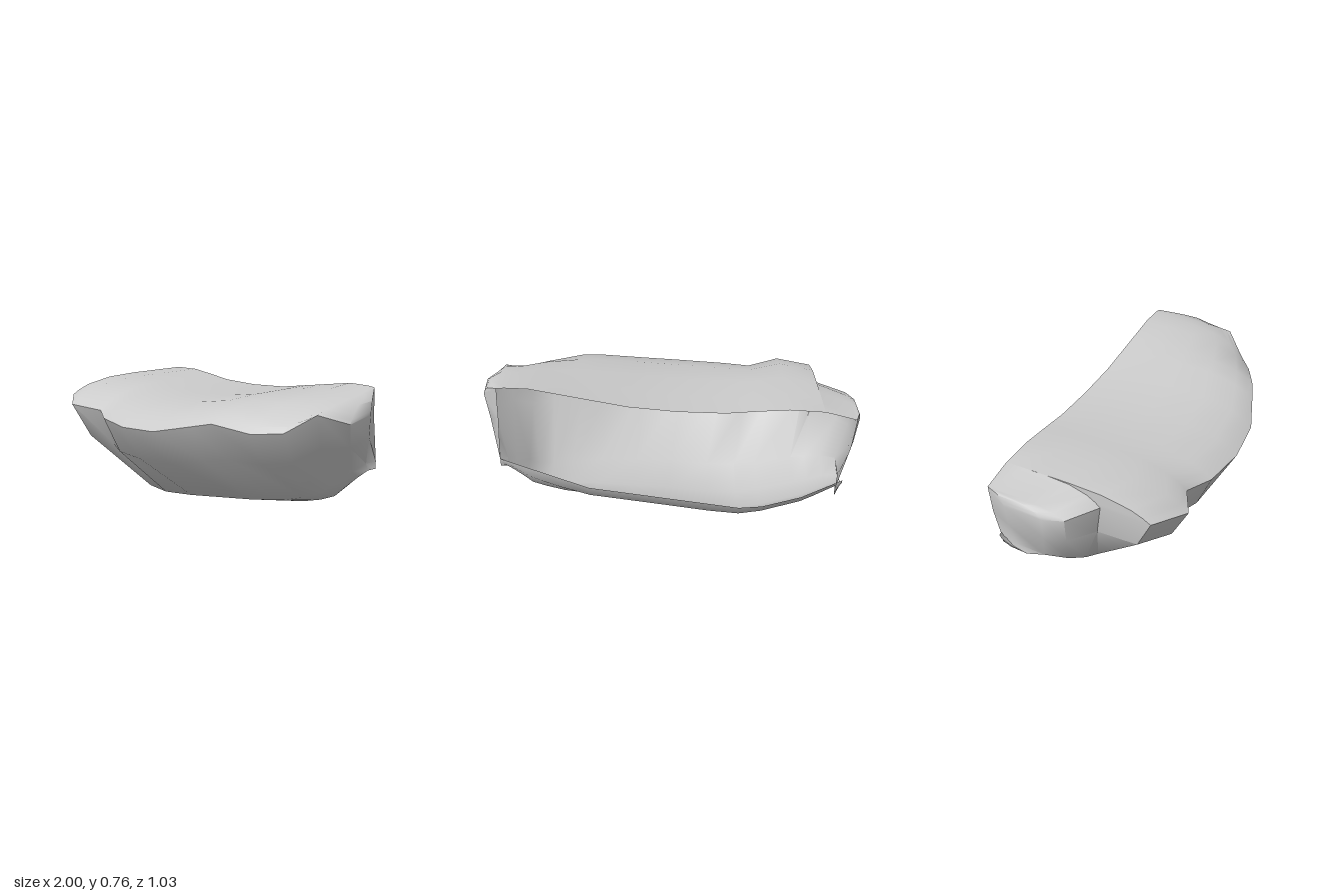
import * as THREE from 'three';
import { toCreasedNormals } from 'three/addons/utils/BufferGeometryUtils.js';

// Lip of the ledge (x, y, z) and foot of the wall below it (x, z), going
// round the front from the right back corner to the left back corner
const SECTIONS = [
  [-0.96, 0.61, -0.41, -0.88, -0.44],
  [-1.0, 0.57, -0.29, -0.91, -0.32],
  [-1.0, 0.57, -0.08, -0.92, -0.15],
  [-0.96, 0.57, 0.02, -0.85, -0.05],
  [-0.8, 0.57, 0.12, -0.77, 0.0],
  [-0.8, 0.57, 0.39, -0.7, 0.03],
  [-0.62, 0.55, 0.5, -0.5, 0.08],
  [-0.45, 0.53, 0.41, -0.38, 0.12],
  [-0.3, 0.52, 0.48, -0.22, 0.12],
  [-0.05, 0.52, 0.515, 0, 0.1],
  [0.2, 0.54, 0.495, 0.2, 0.05],
  [0.4, 0.59, 0.42, 0.4, 0],
  [0.52, 0.62, 0.37, 0.55, -0.08],
  [0.7, 0.59, 0.28, 0.65, -0.14],
  [0.82, 0.6, 0.18, 0.72, -0.2],
  [0.92, 0.69, 0.06, 0.76, -0.25],
  [1.0, 0.64, -0.08, 0.81, -0.33],
  [0.97, 0.66, -0.26, 0.84, -0.4],
  [0.86, 0.76, -0.41, 0.87, -0.44],
];

// Curves over x: [x, value]
const BACK_EDGE_Y = [[-0.96, 0.62], [-0.9, 0.655], [-0.6, 0.67], [-0.2, 0.635], [0.2, 0.67],
  [0.75, 0.77], [0.86, 0.76]];
const KEEL_Y = [[-0.92, 0.21], [-0.8, 0.14], [-0.38, 0], [-0.22, 0], [0.4, 0.09], [0.6, 0.115],
  [0.72, 0.17], [0.85, 0.33]];
const RIM_Y = [[-0.92, 0.27], [-0.43, 0.14], [0.4, 0.25], [0.87, 0.37]];
const RIM_Z = [[-0.92, -0.42], [-0.66, -0.515], [0.4, -0.515], [0.87, -0.44]];

function sample(curve, x) {
  if (x <= curve[0][0]) return curve[0][1];
  for (let i = 1; i < curve.length; i++) {
    const [x0, v0] = curve[i - 1], [x1, v1] = curve[i];
    if (x <= x1) return v0 + (v1 - v0) * (x - x0) / (x1 - x0);
  }
  return curve[curve.length - 1][1];
}

const { lerp, clamp } = THREE.MathUtils;

// Joins rows of points into a smooth surface with sharp creases
function surface(name, rows, crease, material) {
  const n = rows[0].length, index = [];
  for (let r = 0; r < rows.length - 1; r++) {
    for (let i = 0; i < n - 1; i++) {
      const a = r * n + i, d = a + n;
      index.push(a, d, d + 1, a, d + 1, a + 1);
    }
  }
  const geometry = new THREE.BufferGeometry();
  geometry.setAttribute('position', new THREE.Float32BufferAttribute(rows.flat(2), 3));
  geometry.setIndex(index);
  const mesh = new THREE.Mesh(toCreasedNormals(geometry, crease), material);
  mesh.name = name;
  return mesh;
}

export function createModel() {
  const group = new THREE.Group();
  group.name = 'rockLedge';
  const material = new THREE.MeshStandardMaterial({ color: 0xcccccc, side: THREE.DoubleSide });

  // Top: from the straight back edge over a level shelf, dropping to the lip
  const topRows = [1, 0.8, 0.55, 0.32, 0.13, 0.05].map((t) => SECTIONS.map(([x, y, z]) => {
    const backX = clamp(x, -0.96, 0.86);
    const backY = sample(BACK_EDGE_Y, backX);
    const shelfY = Math.min(backY, 0.7);
    const rise = 1 - (1 - t) ** 6;
    return [
      lerp(x, backX, t),
      lerp(y, shelfY, rise) + (backY - shelfY) * t,
      lerp(z, -0.41, t),
    ];
  }));

  // Wall: from lip to foot, swelling outward at the belly
  const wallRows = [[0, 0], [0.42, 0.24], [1, 1]].map(([drop, inset]) =>
    SECTIONS.map(([x, y, z, footX, footZ]) => [
      lerp(x, footX, inset),
      lerp(y, sample(KEEL_Y, footX) + 0.04, drop),
      lerp(z, footZ, inset),
    ]));

  // Underside: from the foot over the keel, up to the rim of the open back
  const floorRows = [[0.4, 0], [0.72, 0.2], [0.96, 0.65], [1, 1]].map(([t, rise]) =>
    SECTIONS.map(([, , , x, z]) => [
      x,
      lerp(sample(KEEL_Y, x), sample(RIM_Y, x), rise),
      lerp(z, sample(RIM_Z, x), t),
    ]));

  group.add(surface('rockShell', [...topRows, ...wallRows, ...floorRows], 0.9, material));
  return group;
}
